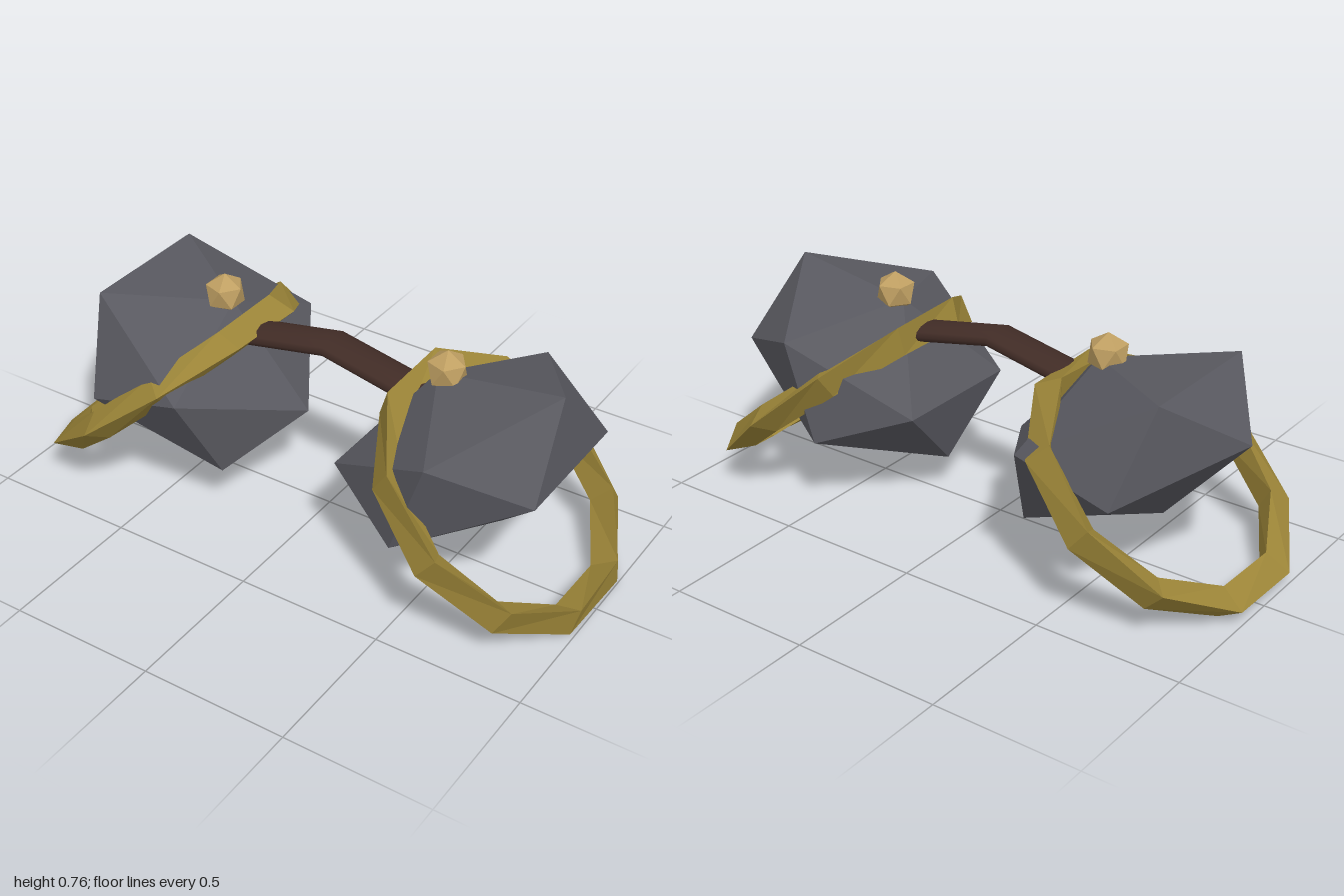
import * as THREE from 'three';

const mat = (name, color) => {
  const m = new THREE.MeshStandardMaterial({ color });
  m.name = name;
  return m;
};

// Icosahedron standing on a corner
function cornerUpIcosahedron(radius) {
  return new THREE.IcosahedronGeometry(radius, 0).rotateZ(-Math.atan(2 / (1 + Math.sqrt(5))));
}

// Ten-sided ring with a triangular section that twists a third of a turn
function twistedRing(R, r, twist) {
  const point = (i, j) => {
    const phi = ((18 + 36 * i) * Math.PI) / 180;
    const a = (-27 * Math.PI) / 180 + (twist * phi) / 3 + (j * 2 * Math.PI) / 3;
    const d = R + r * Math.cos(a);
    return [d * Math.cos(phi), r * Math.sin(a), d * Math.sin(phi)];
  };
  const pos = [];
  for (let i = 0; i < 10; i++) {
    for (let j = 0; j < 3; j++) {
      const a = point(i, j), b = point(i, j + 1);
      const c = point(i + 1, j + 1), d = point(i + 1, j);
      pos.push(...a, ...b, ...d, ...b, ...c, ...d);
    }
  }
  const g = new THREE.BufferGeometry();
  g.setAttribute('position', new THREE.Float32BufferAttribute(pos, 3));
  g.computeVertexNormals();
  return g;
}

export function createModel() {
  const model = new THREE.Group();
  model.name = 'shoulderArmour';

  const iron = mat('darkIron', 0x58585f);
  const brass = mat('agedBrass', 0x9c8538);
  const gold = mat('paleGold', 0xbf9f62);
  const leather = mat('brownLeather', 0x412c26);

  const add = (name, geometry, material, x, y, tilt = 0) => {
    const mesh = new THREE.Mesh(geometry, material);
    mesh.name = name;
    mesh.position.set(x + 0.011, y, 0);
    mesh.rotation.z = tilt;
    model.add(mesh);
    return mesh;
  };

  // Plates, rims and studs on both shoulders
  for (const [side, s] of [['left', 1], ['right', -1]]) {
    add(side + 'Plate', cornerUpIcosahedron(1).scale(0.461, 0.265, 0.456), iron, s * 0.514, 0.435, s * 0.497);
    add(side + 'Rim', twistedRing(0.443, 0.058, -s), brass, s * 0.634, 0.323, -s * 0.69);
    add(side + 'Stud', cornerUpIcosahedron(0.07), gold, s * 0.42, 0.69);
  }

  // Flattened strap, bent in the middle
  const path = new THREE.CurvePath();
  const bend = new THREE.Vector3(0, 0, 0);
  path.add(new THREE.LineCurve3(new THREE.Vector3(-0.4, -0.19, 0), bend));
  path.add(new THREE.LineCurve3(bend, new THREE.Vector3(0.4, -0.19, 0)));
  const strap = new THREE.TubeGeometry(path, 2, 0.07, 12, false).scale(1, 0.42, 1);
  add('strap', strap, leather, 0, 0.638);

  return model;
}
